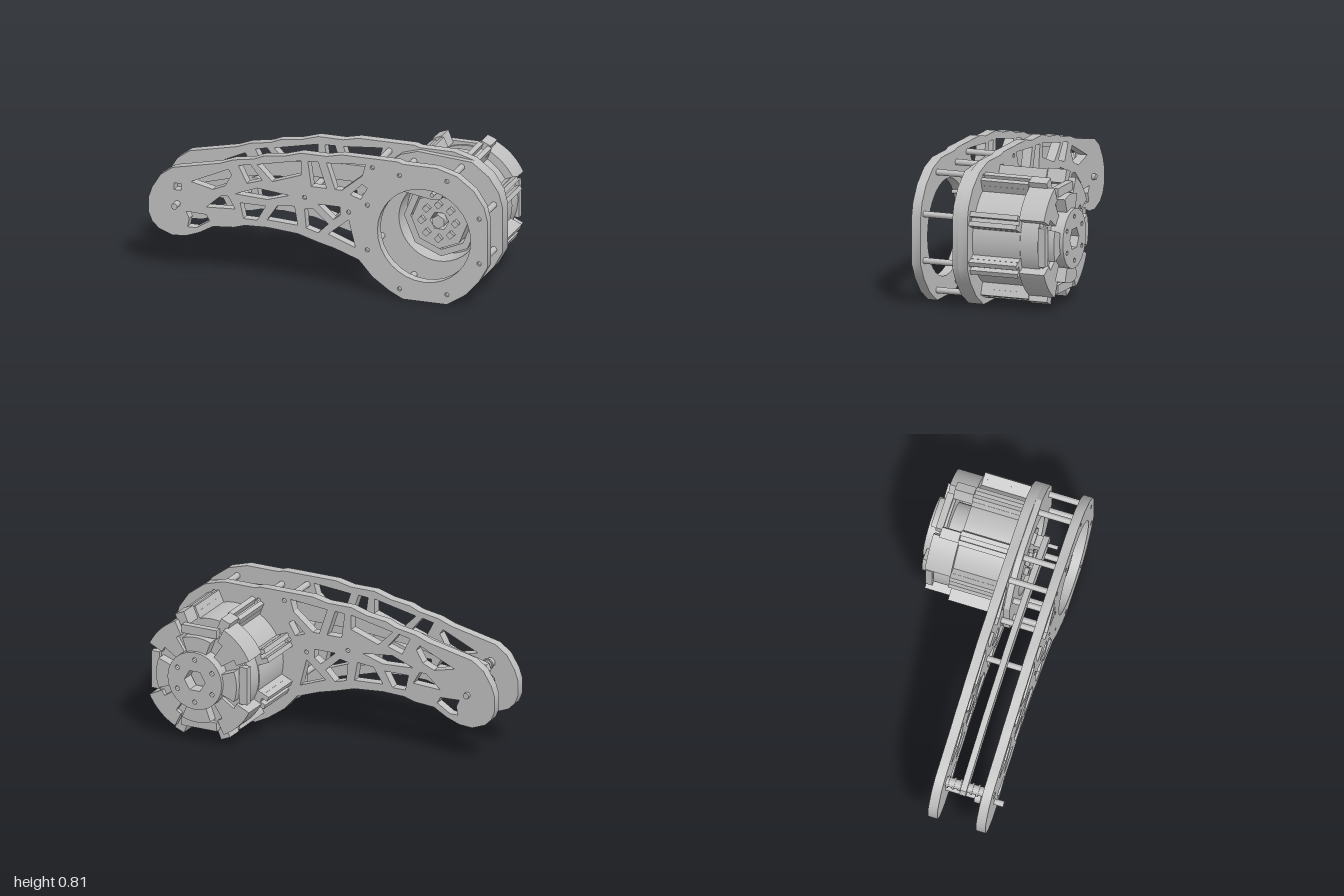
import * as THREE from 'three';
import { toCreasedNormals } from 'three/addons/utils/BufferGeometryUtils.js';

const CX = 0.625, CY = 0.39; // motor axis
const metal = new THREE.MeshStandardMaterial({ color: 0xc0c0c0, side: THREE.DoubleSide });
metal.name = 'grey metal';

const outline = [[-1, .42], [-.98, .48], [-.93, .56], [-.86, .61], [-.72, .64], [-.58, .67], [-.5, .7], [-.38, .72],
  [-.32, .745], [-.2, .76], [-.1, .79], [.05, .79], [.14, .81], [.47, .81], [.5, .8], [.7, .8], [.82, .765], [.92, .69],
  [.98, .6], [1, .52], [1, .25], [.95, .16], [.87, .07], [.76, 0], [.5, 0], [.42, .04], [.32, .11], [.24, .2], [.1, .25],
  [0, .275], [-.12, .31], [-.3, .325], [-.43, .32], [-.5, .3], [-.62, .29], [-.7, .245], [-.78, .215], [-.86, .21],
  [-.94, .24], [-.98, .28], [-1, .33]];

// truss openings of the leg plates
const windows = [
  [[-.78, .36], [-.66, .355], [-.64, .32], [-.72, .27], [-.77, .27], [-.76, .32]],
  [[-.75, .54], [-.53, .64], [-.51, .61], [-.55, .54], [-.62, .51]],
  [[-.66, .4], [-.57, .48], [-.53, .48], [-.49, .41]],
  [[-.47, .67], [-.4, .685], [-.33, .6], [-.42, .57]],
  [[-.36, .69], [-.1, .745], [-.1, .66], [-.27, .6]],
  [[-.06, .745], [0, .75], [.05, .6], [-.04, .6]],
  [[.05, .75], [.28, .77], [.26, .7], [.14, .6], [.1, .6]],
  [[.19, .58], [.26, .65], [.29, .63], [.25, .56]],
  [[-.49, .5], [-.36, .55], [-.17, .53], [-.3, .49]],
  [[-.44, .36], [-.46, .45], [-.31, .45], [-.36, .36]],
  [[-.3, .37], [-.24, .46], [-.14, .47], [-.12, .36]],
  [[-.07, .35], [-.08, .46], [-.03, .47], [.06, .39], [0, .33]],
  [[0, .5], [.13, .5], [.13, .45], [.09, .42]],
  [[.22, .27], [.18, .43], [.06, .33]],
];

// standoff positions around the motor and along the leg
const posts = [[.48, .73], [.76, .73], [.95, .53], [.95, .265], [.76, .058], [.48, .058], [.29, .53], [.29, .265],
  [.32, .757], [-.08, .53], [.18, .475]];

const poly = pts => new THREE.Shape(pts.map(p => new THREE.Vector2(...p)));

function circlePath(x, y, r, n = 24, a0 = 0) {
  const pts = [];
  for (let i = 0; i < n; i++) {
    const a = a0 + i / n * Math.PI * 2;
    pts.push([x + r * Math.cos(a), y + r * Math.sin(a)]);
  }
  return poly(pts);
}

function ringSector(r0, r1, mid, half) {
  const s = new THREE.Shape();
  s.absarc(0, 0, r1, mid - half, mid + half, false);
  s.absarc(0, 0, r0, mid + half, mid - half, true);
  return s;
}

function ring(r1, r0, n = 40, m = n) {
  const s = circlePath(0, 0, r1, n);
  s.holes.push(circlePath(0, 0, r0, m));
  return s;
}

export function createModel() {
  const model = new THREE.Group();
  model.name = 'actuatedLeg';

  const add = (parent, name, geo) => {
    const m = new THREE.Mesh(geo, metal);
    m.name = name;
    parent.add(m);
  };
  const extrude = (parent, name, shape, z0, z1) => {
    const g = new THREE.ExtrudeGeometry(shape, { depth: z1 - z0, bevelEnabled: false, curveSegments: 8 });
    add(parent, name, toCreasedNormals(g.translate(0, 0, z0), 0.55));
  };
  const rod = (parent, name, x, y, r, z0, z1, n = 12) => {
    const g = new THREE.CylinderGeometry(r, r, z1 - z0, n).rotateX(Math.PI / 2);
    add(parent, name, g.translate(x, y, (z0 + z1) / 2));
  };
  const box = (parent, name, x0, x1, y0, y1, z0, z1) =>
    add(parent, name, new THREE.BoxGeometry(x1 - x0, y1 - y0, z1 - z0)
      .translate((x0 + x1) / 2, (y0 + y1) / 2, (z0 + z1) / 2));

  // two matching leg plates
  for (const [name, z0, z1, r] of [['frontPlate', .33, .385, .275], ['backPlate', .05, .105, .265]]) {
    const s = poly(outline);
    windows.forEach(w => s.holes.push(poly(w)));
    s.holes.push(circlePath(CX, CY, r, 32));
    posts.forEach(([x, y]) => s.holes.push(circlePath(x, y, .013, 8)));
    s.holes.push(circlePath(-.83, .5, .028, 4, Math.PI / 4));
    extrude(model, name, s, z0, z1);
  }

  // motor mounting plate on the inner face of the back plate
  const mount = poly([[.22, .26], [.22, .56], [.3, .68], [.4, .76], [.5, .79],
    ...outline.filter(p => p[0] > .55 && p[1] < .79), [.5, 0], [.42, .04], [.32, .11]]);
  mount.holes.push(circlePath(CX, CY, .25, 32));
  extrude(model, 'mountingPlate', mount, .105, .14);

  // standoffs with their bolt sockets
  posts.forEach(([x, y]) => {
    rod(model, 'standoff', x, y, .018, .105, .33);
    rod(model, 'boltHead', x, y, .012, .33, .372, 6);
  });

  // push rod between the plates, from the crank to the knee
  const bar = poly([[-.87, .535], [-.885, .5], [-.87, .47], [-.83, .457], [-.45, .56], [-.05, .6], [.3, .6], [.62, .55],
    [.67, .56], [.69, .6], [.67, .64], [.63, .655], [.32, .7], [-.05, .695], [-.45, .64], [-.82, .55]]);
  extrude(model, 'pushRod', bar, .197, .232);

  // knee shaft with its collars
  rod(model, 'kneeShaft', -.83, .4, .018, .03, .44);
  rod(model, 'kneeCollar', -.83, .4, .037, .275, .31);
  rod(model, 'rodPin', -.83, .5, .028, .05, .33);
  for (let i = 0; i < 6; i++) rod(model, 'kneeWasher', -.83, .5, .035, .11 + i * .035, .122 + i * .035);

  const motor = new THREE.Group();
  motor.name = 'motor';
  motor.position.set(CX, CY, 0);
  model.add(motor);

  // housing turned from one closed profile, recessed at the front
  const wall = [[0, -.235], [.3, -.235], [.3, .05], [.262, .05], [.262, .14], [.235, .14], [.235, 0], [0, 0]]
    .map(p => new THREE.Vector2(...p));
  add(motor, 'housing', toCreasedNormals(new THREE.LatheGeometry(wall, 48).rotateX(Math.PI / 2), 0.6));

  // stepped gear face seen through the plate opening
  extrude(motor, 'gearRing', ring(.22, .18, 8), 0, .1);
  extrude(motor, 'gearCarrier', ring(.165, .055, 8, 6), 0, .13);
  rod(motor, 'gearHub', 0, 0, .04, 0, .15, 6);
  for (let i = 0; i < 8; i++) {
    const a = i * Math.PI / 4;
    rod(motor, 'carrierBolt', .1 * Math.cos(a), .1 * Math.sin(a), .024, .12, .155, 4);
  }

  // crank block that drives the push rod
  box(motor, 'crank', -.025, .045, .15, .25, .1, .16);
  box(motor, 'crankBlock', -.025, .045, .18, .235, .16, .2);
  rod(motor, 'crankPin', .012, .208, .012, .16, .29);

  // eight paired ribs along the housing, with clamps on the upper and lower pairs
  for (let i = 0; i < 8; i++) {
    const rib = new THREE.Group();
    rib.name = 'rib';
    rib.rotation.z = Math.PI / 8 + i * Math.PI / 4;
    motor.add(rib);
    box(rib, 'ribBase', .28, .335, -.042, .042, -.235, .05);
    for (const s of [-1, 1]) box(rib, 'ribRail', .33, .37, s * .027 - .014, s * .027 + .014, -.235, .05);
    if (i % 4 === 1 || i % 4 === 2) box(rib, 'ribClamp', .3, .378, -.03, .03, -.345, -.235);
  }

  // rear core and end plate, open above and below
  rod(motor, 'rearCore', 0, 0, .17, -.35, -.235, 24);
  extrude(motor, 'rearPlate', ring(.285, .08, 40, 6), -.36, -.33);
  for (const a of [0, Math.PI]) extrude(motor, 'rearSide', ringSector(.22, .295, a, .46), -.34, -.235);

  // diagonal wings, cardinal bridges and raised spokes on the rear
  for (let i = 0; i < 4; i++) {
    const a = i * Math.PI / 2;
    extrude(motor, 'wing', ringSector(.26, .347, a + Math.PI / 4, .33), -.385, -.235);
    extrude(motor, 'wingSpoke', ringSector(.15, .3, a + Math.PI / 4, .2), -.385, -.35);
    extrude(motor, 'raisedSpoke', ringSector(.15, .252, a, .36), -.42, -.35);
    const bridge = new THREE.Group();
    bridge.name = 'bridge';
    bridge.rotation.z = a;
    motor.add(bridge);
    box(bridge, 'bridgeBar', .25, .3, -.11, .11, -.385, -.345);
  }

  // rear hub with hexagonal socket and bolt holes
  const hub = ring(.17, .065, 24, 6);
  for (let i = 0; i < 6; i++) {
    const a = (i + .5) * Math.PI / 3;
    hub.holes.push(circlePath(.125 * Math.cos(a), .125 * Math.sin(a), .014, 8));
  }
  extrude(motor, 'rearHub', hub, -.44, -.36);

  return model;
}
